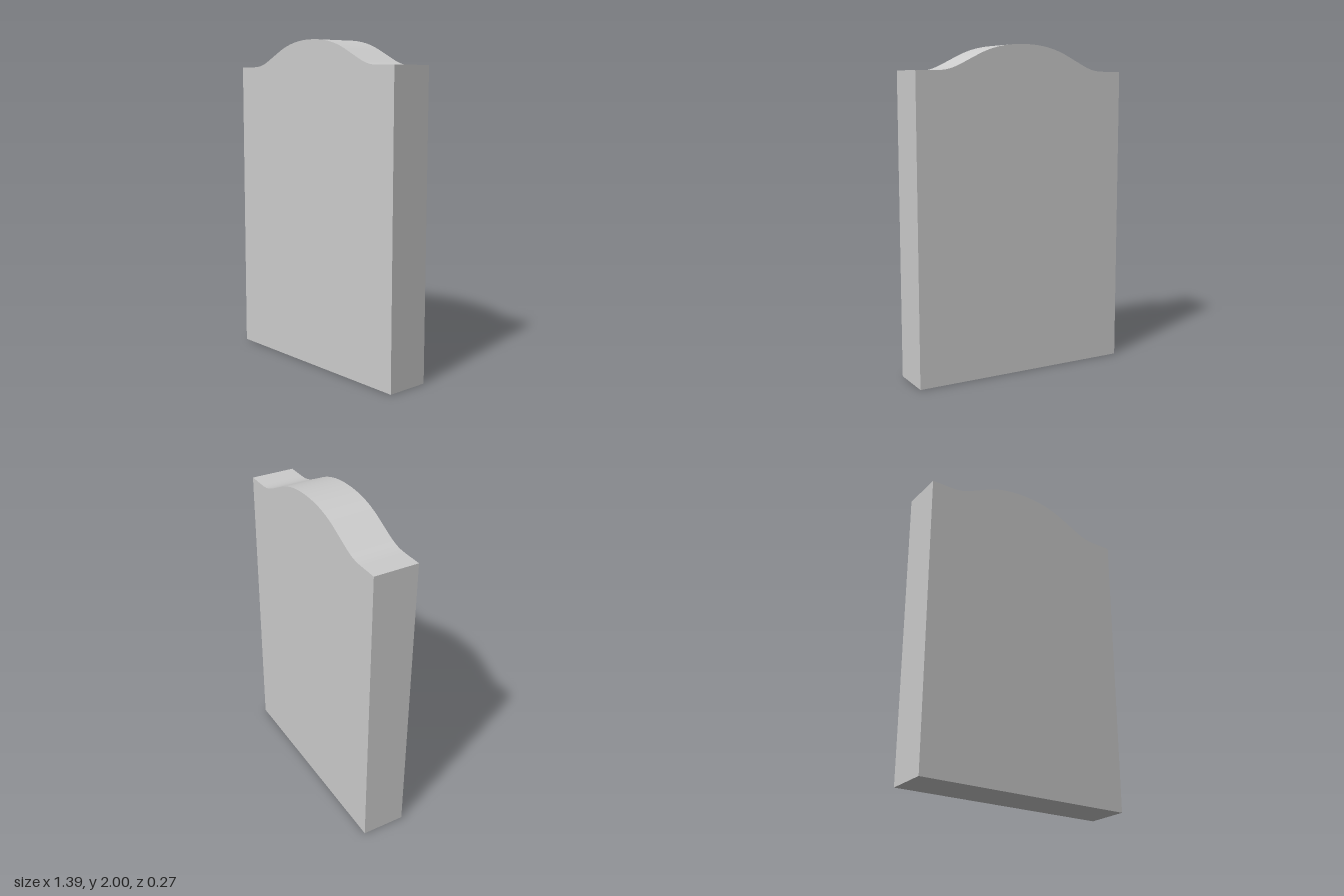
import * as THREE from 'three';
import { toCreasedNormals } from 'three/addons/utils/BufferGeometryUtils.js';

const HALF_WIDTH = 0.695;
const DEPTH = 0.273;
const SHOULDER = 1.843;

// Upright slab outline: square shoulders sweeping up into a rounded crown
function slabOutline() {
  const s = new THREE.Shape();
  s.moveTo(-HALF_WIDTH, 0);
  s.lineTo(HALF_WIDTH, 0);
  s.lineTo(HALF_WIDTH, SHOULDER);
  s.lineTo(0.57, SHOULDER);
  s.bezierCurveTo(0.5, SHOULDER, 0.46, 1.858, 0.4, 1.888);
  s.lineTo(0.3, 1.937);
  s.bezierCurveTo(0.2, 1.985, 0.1, 2, 0, 2);
  s.bezierCurveTo(-0.1, 2, -0.2, 1.985, -0.3, 1.937);
  s.lineTo(-0.4, 1.888);
  s.bezierCurveTo(-0.46, 1.858, -0.5, SHOULDER, -0.57, SHOULDER);
  s.lineTo(-HALF_WIDTH, SHOULDER);
  s.closePath();
  return s;
}

export function createModel() {
  const group = new THREE.Group();
  group.name = 'headstone';

  const geometry = new THREE.ExtrudeGeometry(slabOutline(), {
    depth: DEPTH,
    bevelEnabled: false,
    curveSegments: 12,
  });
  geometry.translate(0, 0, -DEPTH / 2);

  // Smooth along the crown, sharp at the slab's edges
  const slab = new THREE.Mesh(
    toCreasedNormals(geometry, 0.6),
    new THREE.MeshStandardMaterial({ color: 0xcccccc })
  );
  slab.name = 'slab';
  group.add(slab);
  return group;
}
